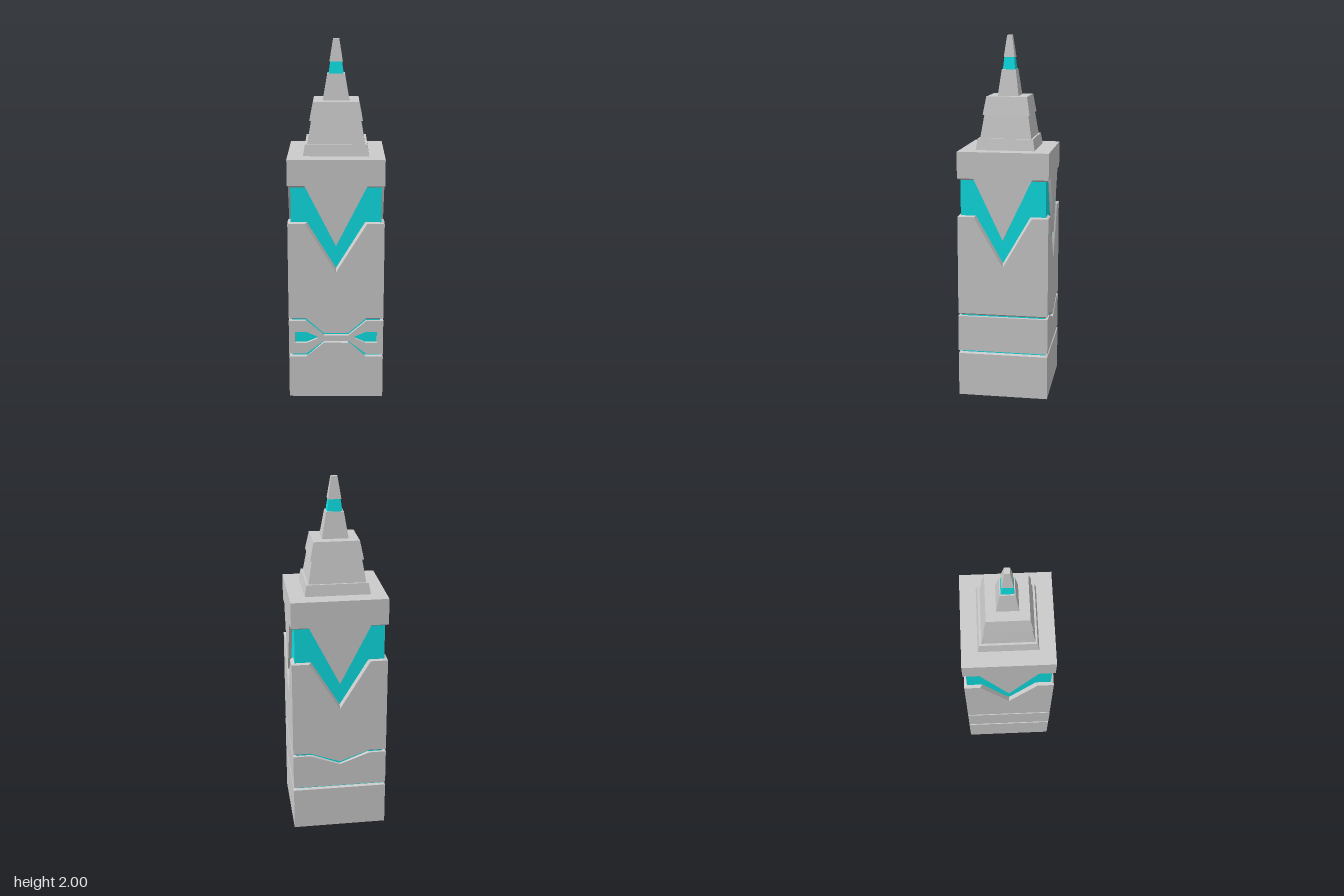
import * as THREE from 'three';

const HX = 0.265, HZ = 0.25, INSET = 0.018;
const STEPS = [-1, -0.64, -0.26, 0, 0.26, 0.64, 1];
const FRONT = 0, BACK = 2;

// One side of a rectangular ring, left to right as seen from outside.
function sidePoints(side, hx, hz, height) {
  return STEPS.map(t => {
    const [x, z] = [[t * hx, hz], [hx, -t * hz], [-t * hx, -hz], [-hx, t * hz]][side];
    return [x, typeof height === 'function' ? height(Math.abs(t), side) : height, z];
  });
}

// Skin stacked rings [halfX, halfZ, height], listed bottom to top.
function ringSolid(rings, sides = [0, 1, 2, 3]) {
  const pos = [];
  for (const s of sides) {
    for (let r = 0; r + 1 < rings.length; r++) {
      const a = sidePoints(s, ...rings[r]), b = sidePoints(s, ...rings[r + 1]);
      for (let i = 0; i + 1 < a.length; i++) {
        pos.push(...a[i], ...a[i + 1], ...b[i + 1], ...a[i], ...b[i + 1], ...b[i]);
      }
    }
  }
  const g = new THREE.BufferGeometry();
  g.setAttribute('position', new THREE.Float32BufferAttribute(pos, 3));
  g.computeVertexNormals();
  return g;
}

// Piecewise-linear height across a side: flat at the corners, ramped towards the middle.
const ramp = (edge, mid, flat = 0) => t =>
  t >= 0.64 ? edge : t <= flat ? mid : mid + (edge - mid) * (t - flat) / (0.64 - flat);

// Grooves follow a different line on the front, back and plain sides.
const groove = (edge, frontMid, backMid = edge) => (t, side) =>
  side === FRONT ? ramp(edge, frontMid, 0.26)(t) : side === BACK ? ramp(edge, backMid)(t) : edge;

export function createModel() {
  const group = new THREE.Group();
  const grey = new THREE.MeshStandardMaterial({ color: 0xcccccc, flatShading: true });
  const cyan = new THREE.MeshStandardMaterial({ color: 0x0ee0e4, flatShading: true });
  const add = (name, geometry, material = grey) => {
    const m = new THREE.Mesh(geometry, material);
    m.name = name;
    group.add(m);
    return m;
  };
  const outer = h => [HX, HZ, h];
  const inner = h => [HX - INSET, HZ - INSET + 0.002, h];

  // Glowing core seen through every groove
  add('glowingCore', new THREE.BoxGeometry(2 * (HX - INSET), 1.12, 2 * (HZ - INSET + 0.002)), cyan)
    .position.y = 0.71;

  // Body blocks with sloped lips
  add('baseBlock', ringSolid([
    [0, 0, 0], outer(0), outer(groove(0.245, 0.33)), inner(groove(0.251, 0.336)),
  ]));
  add('middleBlock', ringSolid([
    inner(groove(0.263, 0.342)), outer(groove(0.263, 0.342)),
    outer(groove(0.463, 0.375, 0.4)), inner(groove(0.463, 0.375, 0.4)),
  ], [1, 2, 3]));
  add('mainBlock', ringSolid([
    inner(groove(0.469, 0.383, 0.41)), outer(groove(0.48, 0.389, 0.418)),
    outer(ramp(1.028, 0.75)), inner(ramp(1.034, 0.772)),
  ]));
  add('upperBlock', ringSolid([
    inner(ramp(1.23, 0.9)), outer(ramp(1.24, 0.902)), outer(1.385), [0, 0, 1.385],
  ]));

  // Front visor plate with two eye openings
  const plate = new THREE.Shape();
  const bottom = sidePoints(FRONT, HX, HZ, groove(0.263, 0.342));
  const top = sidePoints(FRONT, HX, HZ, groove(0.463, 0.375)).reverse();
  plate.setFromPoints([...bottom, ...top].map(([x, y]) => new THREE.Vector2(x, y)));
  const eye = [[0.23, 0.33], [0.165, 0.33], [0.105, 0.356], [0.105, 0.368], [0.165, 0.395], [0.23, 0.395]];
  for (const s of [-1, 1]) {
    plate.holes.push(new THREE.Path(eye.map(([x, y]) => new THREE.Vector2(s * x, y))));
  }
  add('visorPlate', new THREE.ExtrudeGeometry(plate, { depth: INSET, bevelEnabled: false }))
    .position.z = HZ - INSET + 0.001;

  // Stepped roof and spire: [name, y0, halfX0, halfZ0, y1, halfX1, halfZ1, material]
  const tiers = [
    ['lowerRoofTier', 1.385, 0.18, 0.162, 1.447, 0.169, 0.152, grey],
    ['middleRoofTier', 1.447, 0.157, 0.141, 1.572, 0.136, 0.121, grey],
    ['upperRoofTier', 1.572, 0.145, 0.129, 1.672, 0.125, 0.112, grey],
    ['spireBase', 1.672, 0.072, 0.058, 1.815, 0.048, 0.039, grey],
    ['spireLight', 1.815, 0.041, 0.034, 1.88, 0.032, 0.027, cyan],
    ['spireTip', 1.88, 0.036, 0.03, 2.0, 0.017, 0.014, grey],
  ];
  for (const [name, y0, x0, z0, y1, x1, z1, material] of tiers) {
    add(name, ringSolid([[0, 0, y0], [x0, z0, y0], [x1, z1, y1], [0, 0, y1]]), material);
  }
  return group;
}
